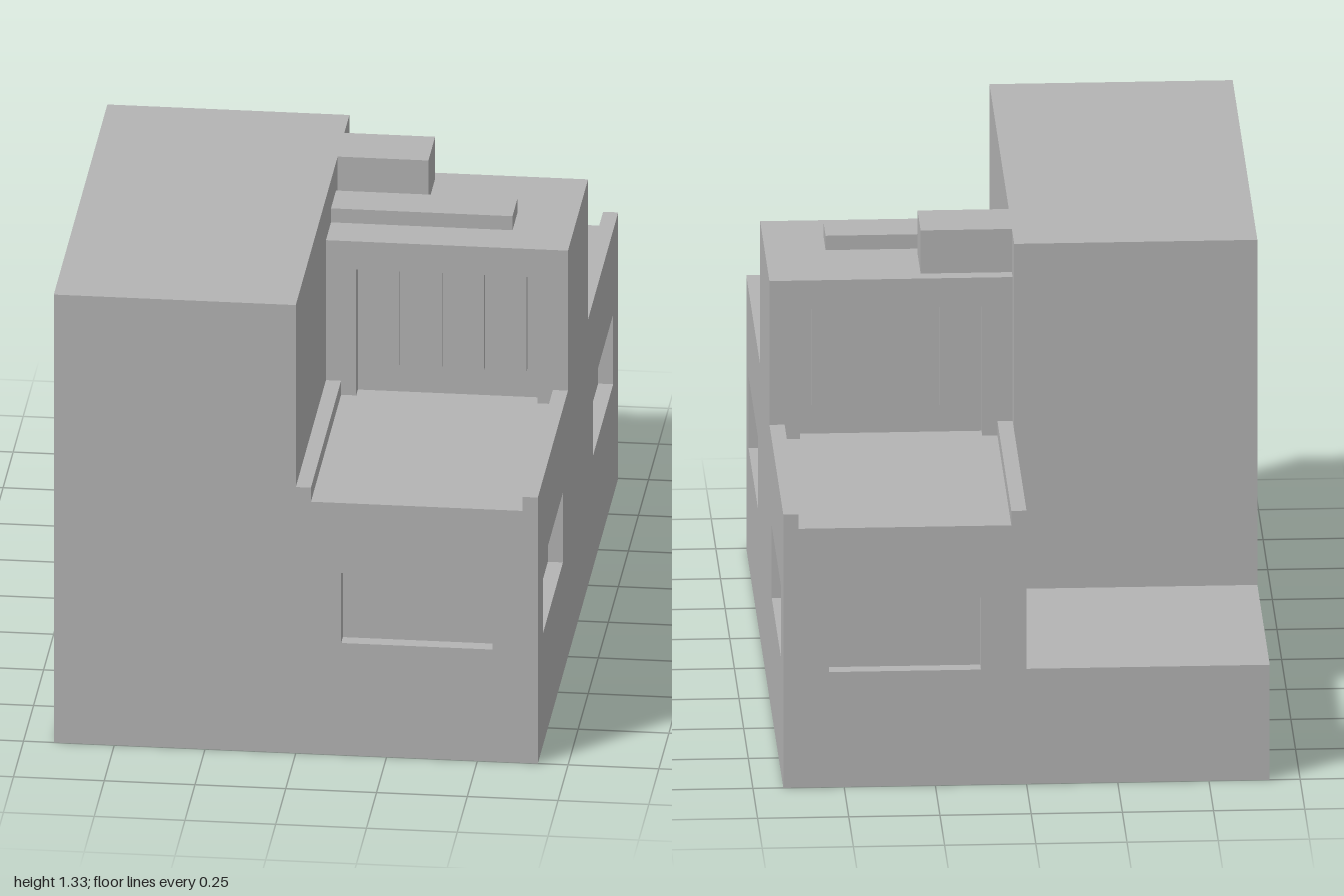
import * as THREE from 'three';

// All sizes are in modules of 1/24 unit; the group is scaled at the end.
const concrete = new THREE.MeshStandardMaterial({ color: 0xb3b3b3 });
concrete.name = 'concrete';

export function createModel() {
  const group = new THREE.Group();

  const add = (name, geometry) => {
    const mesh = new THREE.Mesh(geometry, concrete);
    mesh.name = name;
    group.add(mesh);
    return mesh;
  };

  // Box given by its minimum and maximum on each axis
  const block = (name, x0, x1, y0, y1, z0, z1) =>
    add(name, new THREE.BoxGeometry(x1 - x0, y1 - y0, z1 - z0))
      .position.set((x0 + x1) / 2, (y0 + y1) / 2, (z0 + z1) / 2);

  // One module thick wall from an outline and rectangular openings [a0, a1, b0, b1]
  const wall = (outline, openings = []) => {
    const toPoints = (list) => list.map(([a, b]) => new THREE.Vector2(a, b));
    const shape = new THREE.Shape(toPoints(outline));
    for (const [a0, a1, b0, b1] of openings) {
      shape.holes.push(new THREE.Path(toPoints([[a0, b0], [a0, b1], [a1, b1], [a1, b0]])));
    }
    return new THREE.ExtrudeGeometry(shape, { depth: 1, bevelEnabled: false });
  };

  // Tall wing and the low terrace behind it
  block('tallWing', -16, 0, 0, 32, -8, 24);
  block('lowTerrace', -16, 0, 0, 8, -24, -8);

  // Low wing: core up to the roof deck, wrapped by walls with recessed windows
  block('lowWingCore', 1, 15, 0, 18, -23, 23);
  const endOutline = [[0, 0], [16, 0], [16, 19], [15, 19], [15, 18], [1, 18], [1, 19], [0, 19]];
  const endWall = wall(endOutline, [[3, 13, 8, 13]]);
  add('frontWall', endWall).position.z = 23;
  add('backWall', endWall).position.z = -24;

  // Long walls, outlined in z and y, with parapets stopping at the tower
  const sideOutline = [[-23, 0], [23, 0], [23, 19], [6, 19], [6, 18], [-6, 18], [-6, 19], [-23, 19]];
  const sideWall = (name, x, openings) => {
    const mesh = add(name, wall(sideOutline, openings).rotateY(-Math.PI / 2));
    mesh.position.x = x;
  };
  sideWall('outerSideWall', 16, [[-21, -9, 8, 13], [9, 21, 8, 13]]);
  sideWall('innerSideWall', 1, [[-21, -8, 8, 13]]);

  // Tower with a recessed bay and four raised panels on both faces
  block('towerCore', 0, 16, 18, 29, -5, 5);
  const bay = wall([[0, 18], [2, 18], [2, 27], [14, 27], [14, 18], [16, 18], [16, 29], [0, 29]]);
  for (const [side, sign] of [['front', 1], ['back', -1]]) {
    add(side + 'BayFrame', bay).position.z = sign > 0 ? 5 : -6;
    for (let i = 0; i < 4; i++) {
      const x = 2.8 + i * 2.8;
      block(side + 'BayPanel', x, x + 2, 20, 27, sign > 0 ? 5 : -5.5, sign > 0 ? 5.5 : -5);
    }
  }

  // Roof beams reaching out from the tall wing
  block('tallRoofBeam', 0, 6, 29, 32, -5, -1);
  block('lowRoofBeam', 0, 12, 29, 30, 0, 3);

  group.scale.setScalar(1 / 24);
  return group;
}
